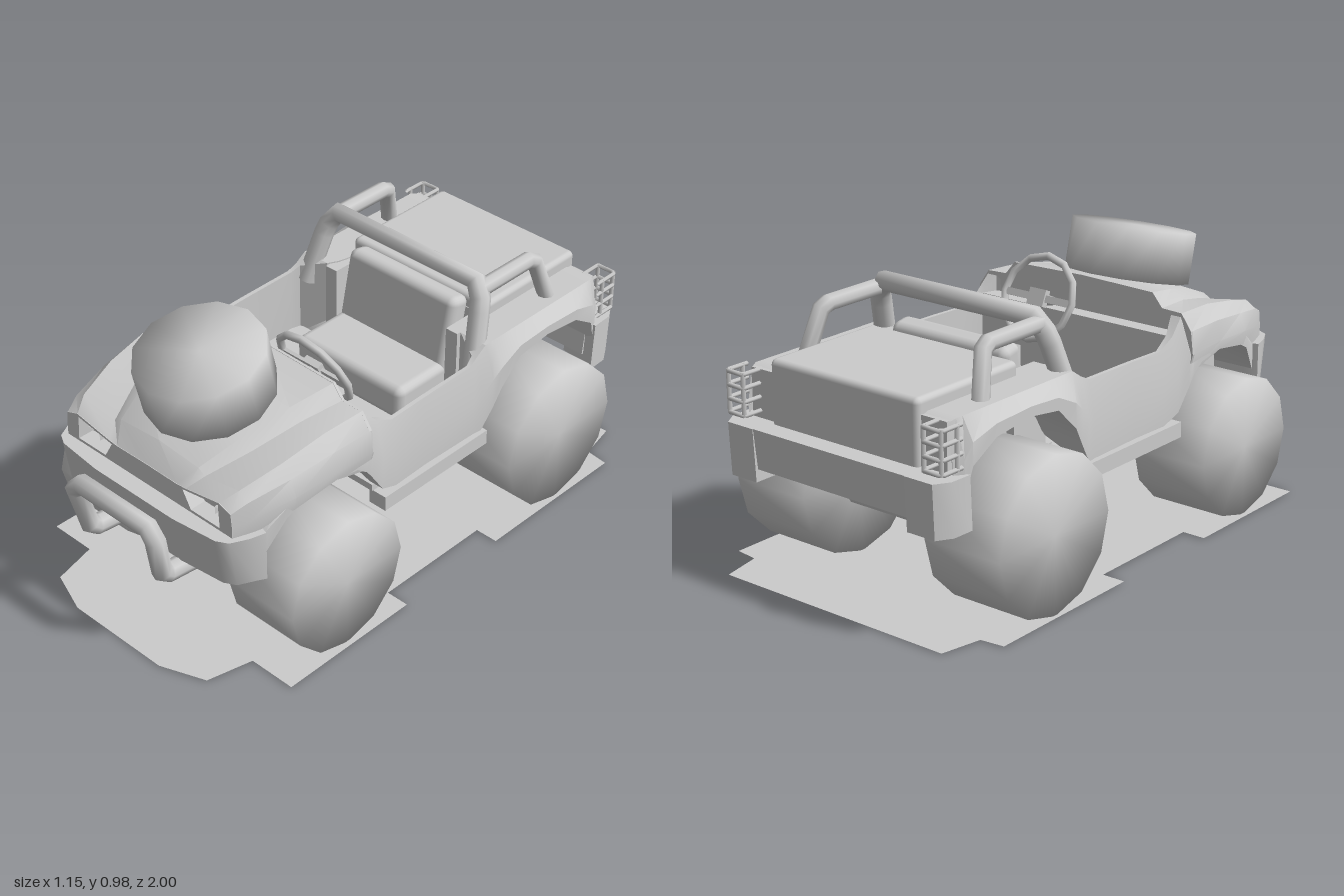
import * as THREE from 'three';
import { mergeVertices, toCreasedNormals } from 'three/addons/utils/BufferGeometryUtils.js';
import { RoundedBoxGeometry } from 'three/addons/geometries/RoundedBoxGeometry.js';

const grey = new THREE.MeshStandardMaterial({ color: 0xcccccc, side: THREE.DoubleSide });
const V = (x, y, z) => new THREE.Vector3(x, y, z);

// Straight-segment path whose samples fall exactly on its corners
class Polyline extends THREE.Curve {
  constructor(points) { super(); this.points = points; this.n = points.length - 1; }
  getPointAt(u) { return this.points[Math.round(u * this.n)].clone(); }
  getTangentAt(u) {
    const i = Math.round(u * this.n), p = this.points, t = V(0, 0, 0);
    if (i > 0) t.add(p[i].clone().sub(p[i - 1]).normalize());
    if (i < this.n) t.add(p[i + 1].clone().sub(p[i]).normalize());
    return t.normalize();
  }
}

// Skin over rows of [x, y], one row per z
function loft(rows, zs, crease) {
  const verts = [], index = [], cols = rows[0].length;
  rows.forEach((row, r) => row.forEach(([x, y], c) => {
    verts.push(x, y, zs[r]);
    const a = r * cols + c;
    if (r < rows.length - 1 && c < cols - 1) index.push(a, a + 1, a + cols, a + 1, a + cols + 1, a + cols);
  }));
  const g = new THREE.BufferGeometry();
  g.setAttribute('position', new THREE.Float32BufferAttribute(verts, 3));
  g.setIndex(index);
  return toCreasedNormals(g, crease);
}

export function createModel() {
  const car = new THREE.Group();
  car.name = 'offRoadCar';

  const add = (name, geo, x = 0, y = 0, z = 0, rx = 0) => {
    const m = new THREE.Mesh(geo, grey);
    m.name = name;
    m.position.set(x, y, z);
    m.rotation.x = rx;
    car.add(m);
    return m;
  };
  // Box given by its limits on each axis
  const box = (name, x0, x1, y0, y1, z0, z1) =>
    add(name, new THREE.BoxGeometry(x1 - x0, y1 - y0, z1 - z0), (x0 + x1) / 2, (y0 + y1) / 2, (z0 + z1) / 2);
  const tube = (name, pts, r, sides = 8) =>
    add(name, new THREE.TubeGeometry(new Polyline(pts), pts.length - 1, r, sides));
  const mirrored = pts => [...pts, ...pts.slice().reverse().map(p => V(-p.x, p.y, p.z))];
  const polygon = pts => new THREE.Shape(pts.map(p => new THREE.Vector2(p[0], p[1])));
  const extrude = (shape, depth) => new THREE.ExtrudeGeometry(shape, { depth, bevelEnabled: false });
  // Half section ending on the centre line, completed on the other side
  const full = half => [...half, ...half.slice(0, -1).reverse().map(([x, y]) => [-x, y])];
  // Drum shaded smoothly over its rims
  const drum = (r, h) => {
    let g = new THREE.CylinderGeometry(r, r, h, 12);
    g.deleteAttribute('normal');
    g.deleteAttribute('uv');
    g = mergeVertices(g);
    g.computeVertexNormals();
    return g;
  };

  // Wheels and axles
  for (const [end, z, r, w] of [['front', 0.49, 0.25, 0.29], ['rear', -0.57, 0.27, 0.3]]) {
    for (const s of [-1, 1]) add(end + 'Wheel', drum(r, w).rotateZ(Math.PI / 2), s * 0.41, r + 0.001, z);
    add(end + 'Axle', new THREE.CylinderGeometry(0.042, 0.042, 0.6, 10).rotateZ(Math.PI / 2), 0, 0.27, z);
  }
  add('spareWheel', drum(0.222, 0.18), 0, 0.846, 0.565, 0.235);

  // Body sides over the wheel arches: z, bottom, top, outer x, top x, inner x
  const stations = [
    [-0.9, 0.46, 0.7, 0.43, 0.41, 0.3], [-0.87, 0.46, 0.71, 0.452, 0.42, 0.27], [-0.84, 0.56, 0.71, 0.46, 0.42, 0.27],
    [-0.74, 0.625, 0.71, 0.468, 0.42, 0.27], [-0.58, 0.645, 0.71, 0.47, 0.42, 0.27],
    [-0.44, 0.625, 0.71, 0.468, 0.42, 0.27], [-0.35, 0.54, 0.71, 0.468, 0.42, 0.29],
    [-0.31, 0.47, 0.71, 0.463, 0.42, 0.31], [-0.265, 0.4, 0.68, 0.455, 0.42, 0.4],
    [-0.23, 0.4, 0.663, 0.45, 0.425, 0.41], [0, 0.4, 0.66, 0.445, 0.425, 0.41], [0.155, 0.4, 0.655, 0.45, 0.425, 0.41],
    [0.225, 0.43, 0.69, 0.457, 0.425, 0.4], [0.28, 0.51, 0.745, 0.462, 0.42, 0.38],
    [0.305, 0.545, 0.66, 0.462, 0.44, 0.28], [0.35, 0.58, 0.66, 0.463, 0.44, 0.27],
    [0.49, 0.605, 0.66, 0.463, 0.44, 0.27], [0.57, 0.59, 0.65, 0.455, 0.43, 0.27],
    [0.65, 0.55, 0.63, 0.445, 0.42, 0.27], [0.72, 0.45, 0.61, 0.425, 0.4, 0.27], [0.79, 0.42, 0.58, 0.392, 0.38, 0.27],
  ];
  for (const s of [-1, 1]) {
    const rows = stations.map(([, y0, y1, xo, xt, xi]) => {
      const ym = y0 + (y1 - y0) * 0.5;
      const row = [[xo, y0], [xo, ym], [xt, y1], [xi, y1], [xi, y0], [xo, y0]].map(([x, y]) => [s * x, y]);
      return s > 0 ? row : row.reverse();
    });
    add(s > 0 ? 'leftBodySide' : 'rightBodySide', loft(rows, stations.map(t => t[0]), 0.5));
  }

  // Hood and front fenders from half sections of (x, y)
  const sections = [
    [0.288, [[0.45, 0.54], [0.47, 0.62], [0.46, 0.7], [0.42, 0.757], [0.34, 0.76], [0.3, 0.808], [0, 0.815]]],
    [0.45, [[0.467, 0.6], [0.47, 0.63], [0.455, 0.7], [0.41, 0.75], [0.31, 0.745], [0.26, 0.775], [0, 0.785]]],
    [0.62, [[0.45, 0.57], [0.457, 0.62], [0.435, 0.68], [0.395, 0.72], [0.27, 0.705], [0.22, 0.73], [0, 0.74]]],
    [0.77, [[0.405, 0.53], [0.41, 0.59], [0.4, 0.655], [0.36, 0.68], [0.21, 0.655], [0.18, 0.672], [0, 0.685]]],
    [0.825, [[0.385, 0.53], [0.385, 0.58], [0.38, 0.63], [0.33, 0.648], [0.18, 0.622], [0.14, 0.618], [0, 0.62]]],
  ];
  add('hoodAndFenders', loft(sections.map(s => full(s[1])), sections.map(s => s[0]), 0.5));

  // Nose panel with sunken headlights, and the cowl closing the hood at the back
  const nose = polygon(full(sections[4][1]));
  for (const s of [-1, 1]) {
    const hole = [[0.2, 0.55], [0.33, 0.55], [0.325, 0.638], [0.165, 0.612]];
    nose.holes.push(new THREE.Path(hole.map(([x, y]) => new THREE.Vector2(s * x, y))));
    box('headlight', s * 0.25 - 0.11, s * 0.25 + 0.11, 0.53, 0.645, 0.71, 0.76);
  }
  add('nosePanel', extrude(nose, 0.06), 0, 0, 0.767);
  add('cowl', extrude(polygon(full(sections[0][1])), 0.01), 0, 0, 0.284);

  // Tub: dashboard, floor, engine bay, cargo body, its lid and tailgate
  box('dashboard', -0.41, 0.41, 0.53, 0.69, 0.225, 0.29);
  box('floor', -0.415, 0.415, 0.4, 0.425, -0.27, 0.23);
  box('engineBay', -0.275, 0.275, 0.36, 0.61, 0.285, 0.705);
  box('cargoBody', -0.275, 0.275, 0.43, 0.71, -0.89, -0.44);
  box('rearFloor', -0.3, 0.3, 0.4, 0.43, -0.46, -0.26);
  box('rearPanel', -0.41, 0.41, 0.46, 0.705, -0.9, -0.88);
  add('cargoLid', new RoundedBoxGeometry(0.62, 0.08, 0.475, 2, 0.02), 0, 0.717, -0.68);
  add('tailgate', new RoundedBoxGeometry(0.62, 0.26, 0.06, 2, 0.02), 0, 0.627, -0.888);

  // Chassis pans under the two axles, profile in (z, y)
  const pans = [
    ['frontSkidPlate', [[0.75, 0.36], [0.66, 0.27], [0.4, 0.19], [0.3, 0.19], [0.27, 0.37]]],
    ['rearSkidPlate', [[-0.36, 0.43], [-0.47, 0.22], [-0.67, 0.22], [-0.8, 0.43]]],
  ];
  for (const [name, pts] of pans) add(name, extrude(polygon(pts), 0.425).rotateY(-Math.PI / 2), 0.2125, 0, 0);

  // Bumpers extruded down from plan outlines in (x, z), drawn in at the bottom
  const bumper = (name, pts, y0, y1, lean) => {
    const g = extrude(polygon(pts), y1 - y0).rotateX(Math.PI / 2);
    const p = g.attributes.position;
    for (let i = 0; i < p.count; i++) if (p.getY(i) < -0.01 && Math.abs(p.getZ(i)) > 0.78) p.setZ(i, p.getZ(i) + lean);
    add(name, toCreasedNormals(g, 0.7), 0, y1, 0);
  };
  const bothSides = half => [...half, ...half.slice().reverse().map(([x, z]) => [-x, z])];
  bumper('frontBumper', bothSides([[0.39, 0.72], [0.44, 0.735], [0.425, 0.79], [0.395, 0.85], [0.355, 0.872], [0.18, 0.89]]), 0.355, 0.54, -0.028);
  bumper('rearBumper', bothSides([[0.42, -0.87], [0.42, -0.95], [0.4, -0.99]]), 0.4, 0.54, 0.015);
  for (const s of [-1, 1]) {
    bumper('rearBumperEnd', [[0.32, -0.89], [0.465, -0.86], [0.462, -0.94], [0.43, -0.992], [0.32, -0.992]]
      .map(([x, z]) => [s * x, z]), 0.358, 0.54, 0.008);

    // Inner wall of the rear wheel well
    box('wheelHouse', s * 0.28 - 0.025, s * 0.28 + 0.025, 0.42, 0.705, -0.46, -0.3);

    // Side step
    box('sideStep', s * 0.435 - 0.035, s * 0.435 + 0.035, 0.345, 0.4, -0.28, 0.225);

    // Tail light guard of bent wires
    for (let i = 0; i < 4; i++) {
      const y = 0.565 + i * 0.046;
      tube('tailLightGuard', [V(s * 0.375, y, -0.89), V(s * 0.375, y, -0.965), V(s * 0.38, y, -0.97),
        V(s * 0.44, y, -0.97), V(s * 0.45, y, -0.96), V(s * 0.45, y, -0.88)], 0.008, 5);
    }
    for (const [x, z] of [[0.378, -0.968], [0.445, -0.966], [0.45, -0.9]])
      tube('tailLightGuardPost', [V(s * x, 0.56, z), V(s * x, 0.708, z)], 0.008, 5);

    // Rear stay of the roll bar
    tube('rollBarStay', [V(s * 0.335, 0.865, -0.37), V(s * 0.335, 0.865, -0.62), V(s * 0.34, 0.85, -0.65),
      V(s * 0.37, 0.68, -0.7)], 0.03);
  }

  // Roll bar and front guard bar
  tube('rollBar', mirrored([V(0.388, 0.62, -0.29), V(0.358, 0.8, -0.345), V(0.348, 0.84, -0.36), V(0.315, 0.886, -0.375)]), 0.036);
  tube('guardBar', mirrored([V(0.17, 0.31, 0.72), V(0.17, 0.33, 0.91), V(0.172, 0.35, 0.935),
    V(0.188, 0.5, 0.968), V(0.155, 0.534, 0.966)]), 0.035);

  // Bench seat
  add('seatCushion', new RoundedBoxGeometry(0.49, 0.13, 0.25, 2, 0.03), 0, 0.48, -0.21);
  add('seatBack', new RoundedBoxGeometry(0.49, 0.34, 0.09, 2, 0.03), 0, 0.61, -0.36, -0.2);

  // Steering wheel
  const wheel = new THREE.Group();
  wheel.name = 'steeringWheel';
  const part = (name, geo) => {
    const m = new THREE.Mesh(geo, grey);
    m.name = name;
    wheel.add(m);
    return m;
  };
  part('rim', new THREE.TorusGeometry(0.148, 0.014, 6, 12));
  part('hub', new THREE.BoxGeometry(0.07, 0.06, 0.025));
  for (const a of [0, Math.PI, -Math.PI / 2])
    part('spoke', new THREE.BoxGeometry(0.14, 0.025, 0.012).translate(0.075, 0, 0)).rotation.z = a;
  part('column', new THREE.CylinderGeometry(0.018, 0.018, 0.12, 8).rotateX(Math.PI / 2).translate(0, 0, 0.06));
  wheel.position.set(0.122, 0.732, 0.195);
  wheel.rotation.x = 0.41;
  car.add(wheel);

  // Flat ground shadow plate in (x, z)
  const plate = [[0.2, 0.995], [0.36, 0.935], [0.4, 0.77], [0.575, 0.77], [0.575, 0.225], [0.49, 0.225],
    [0.49, -0.23], [0.575, -0.23], [0.575, -0.84], [0.49, -0.85], [0.46, -0.995]];
  add('groundPlate', new THREE.ShapeGeometry(polygon(bothSides(plate))).rotateX(Math.PI / 2), 0, 0.004, 0);

  return car;
}
